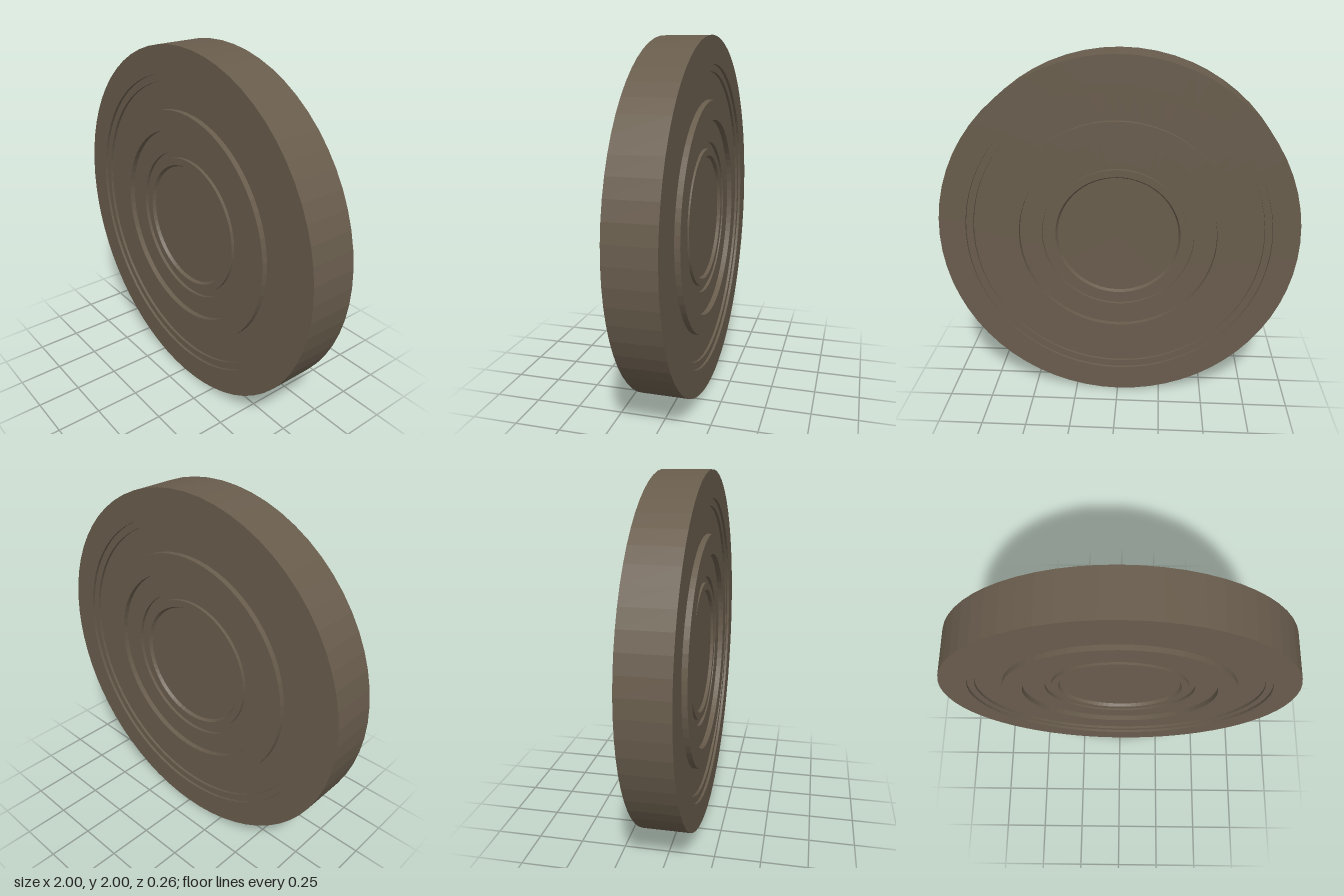
import * as THREE from 'three';

const SEGMENTS = 64;
const HALF = 0.132; // half of the disc thickness

export function createModel() {
  const model = new THREE.Group();
  model.name = 'steppedDisc';
  const brown = new THREE.MeshStandardMaterial({ color: 0x685c4c });
  brown.name = 'dark brown';

  // Turned part about the z axis; profile points are [radius, z], ordered outside to centre
  function turned(name, profile, parent) {
    const points = profile.map(([r, z]) => new THREE.Vector2(r, z));
    const lathe = new THREE.LatheGeometry(points, SEGMENTS);
    const geometry = lathe.toNonIndexed();
    geometry.computeVertexNormals(); // flat facets
    geometry.rotateX(Math.PI / 2);
    const mesh = new THREE.Mesh(geometry, brown);
    mesh.name = name;
    parent.add(mesh);
  }

  const disc = new THREE.Group();
  disc.name = 'disc';
  disc.position.y = 1;
  model.add(disc);

  turned('outerWall', [[1, -HALF], [1, HALF]], disc);

  // Levels of the stepped face
  const top = HALF, ledge = HALF - 0.015, field = HALF - 0.03, deep = HALF - 0.048;
  for (const side of ['front', 'back']) {
    const face = new THREE.Group();
    face.name = side + 'Face';
    if (side === 'back') face.rotation.y = Math.PI;
    disc.add(face);

    turned('rim', [[1, top], [0.85, top], [0.85, ledge]], face);
    turned('rimLedge', [[0.85, ledge], [0.81, ledge], [0.81, field]], face);
    turned('outerField', [[0.81, field], [0.66, field]], face);
    turned('raisedRing', [[0.66, field], [0.66, top], [0.55, top], [0.55, field]], face);
    turned('innerField', [[0.55, field], [0.425, field]], face);
    turned('groove', [[0.425, field], [0.425, deep], [0.39, deep], [0.39, field]], face);
    turned('hubRing', [[0.39, field], [0.35, field], [0.34, deep]], face);
    turned('hubCentre', [[0.34, deep], [0, deep]], face);
  }
  return model;
}
